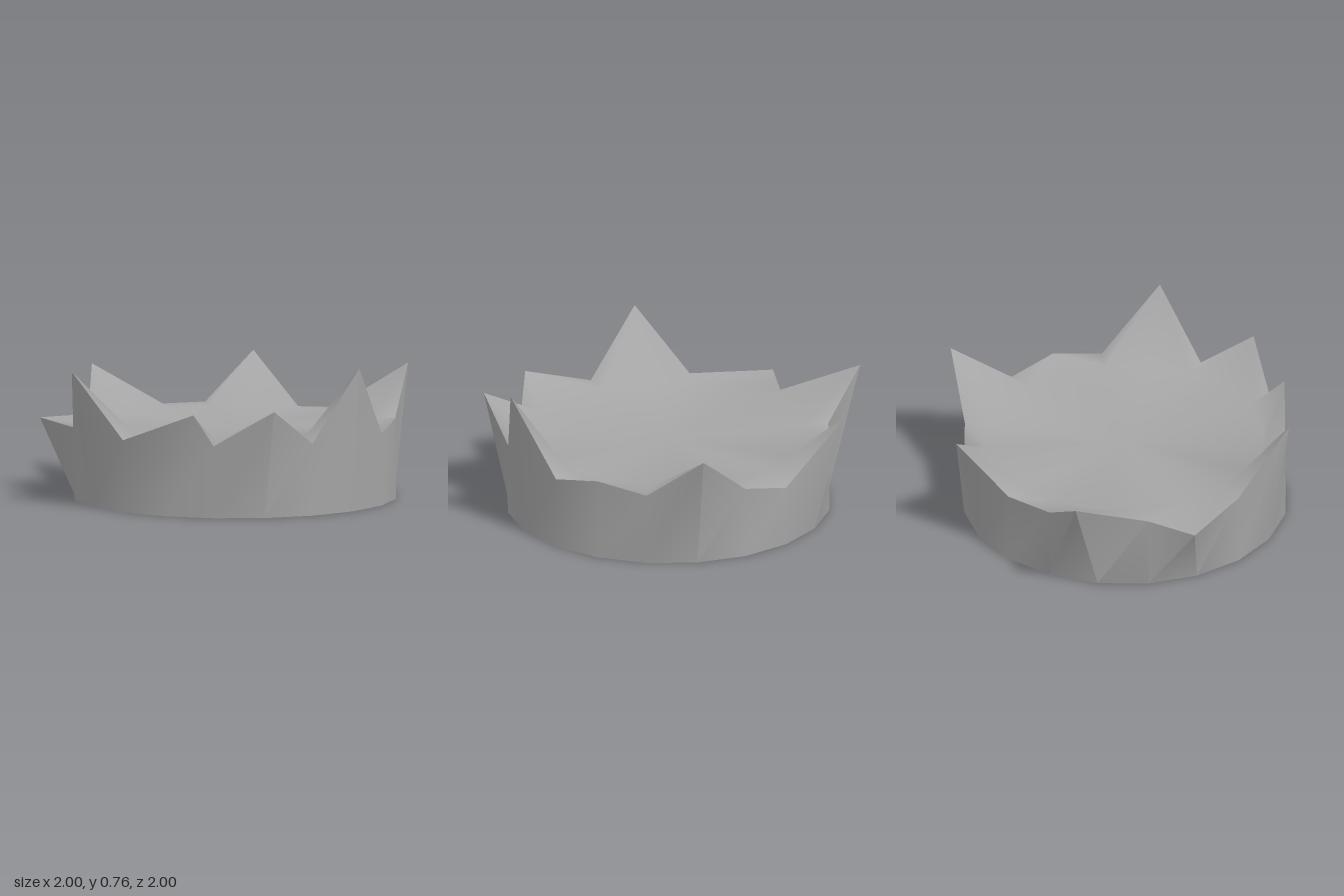
import * as THREE from 'three';
import { toCreasedNormals } from 'three/addons/utils/BufferGeometryUtils.js';

const SIDES = 20, CX = -0.03, CZ = 0.07, RADIUS = 0.85, INNER = 0.73, HEIGHT = 0.38;

// Rim corners pulled away from the plain band: index -> [x, y, z]
const POINTS = {
  1: [0.23, 0.765, 0.955], 3: [0.658, 0.43, 0.57], 5: [1, 0.635, 0.07],
  7: [0.658, 0.32, -0.43], 8: [0.53, 0.63, -0.76], 11: [-0.3, 0.585, -1],
  13: [-0.81, 0.38, -0.63], 15: [-1, 0.72, 0.07], 17: [-0.63, 0.545, 0.72],
  19: [-0.3, 0.575, 1],
};

// One ring of corners, counted from the front towards +x
function ring(radius, y) {
  return Array.from({ length: SIDES }, (_, k) => {
    const a = (k / SIDES) * Math.PI * 2;
    return [CX + radius * Math.sin(a), y, CZ + radius * Math.cos(a)];
  });
}

function surface(corners, faces) {
  const g = new THREE.BufferGeometry();
  g.setAttribute('position', new THREE.Float32BufferAttribute(corners.flat(), 3));
  g.setIndex(faces);
  g.computeVertexNormals();
  return g;
}

export function createModel() {
  const group = new THREE.Group();
  group.name = 'crown';
  const grey = new THREE.MeshStandardMaterial({ color: 0xa6a6a6 });
  grey.name = 'grey';

  const base = ring(RADIUS, 0);
  const rim = ring(RADIUS, HEIGHT).map((p, k) => POINTS[k] ?? p);
  const inset = ring(INNER, HEIGHT);
  const wall = [], top = [], bottom = [];

  for (let k = 0; k < SIDES; k++) {
    const n = (k + 1) % SIDES;
    wall.push(k, n, SIDES + n, k, SIDES + n, SIDES + k);
    // Each rim quad is split from its higher outer corner
    if (rim[k][1] >= rim[n][1]) top.push(k, n, SIDES + n, k, SIDES + n, SIDES + k);
    else top.push(k, n, SIDES + k, n, SIDES + n, SIDES + k);
    top.push(SIDES + k, SIDES + n, 2 * SIDES);
    bottom.push(n, k, SIDES);
  }

  const add = (name, geometry) => {
    const mesh = new THREE.Mesh(geometry, grey);
    mesh.name = name;
    group.add(mesh);
  };
  // Pointed outer band
  add('outerBand', toCreasedNormals(surface([...base, ...rim], wall), 0.6));
  // Inner slopes of the points and the shallow floor
  add('innerFloor', surface([...rim, ...inset, [CX, 0.36, CZ]], top));
  // Flat underside
  add('underside', surface([...base, [CX, 0, CZ]], bottom));
  return group;
}
